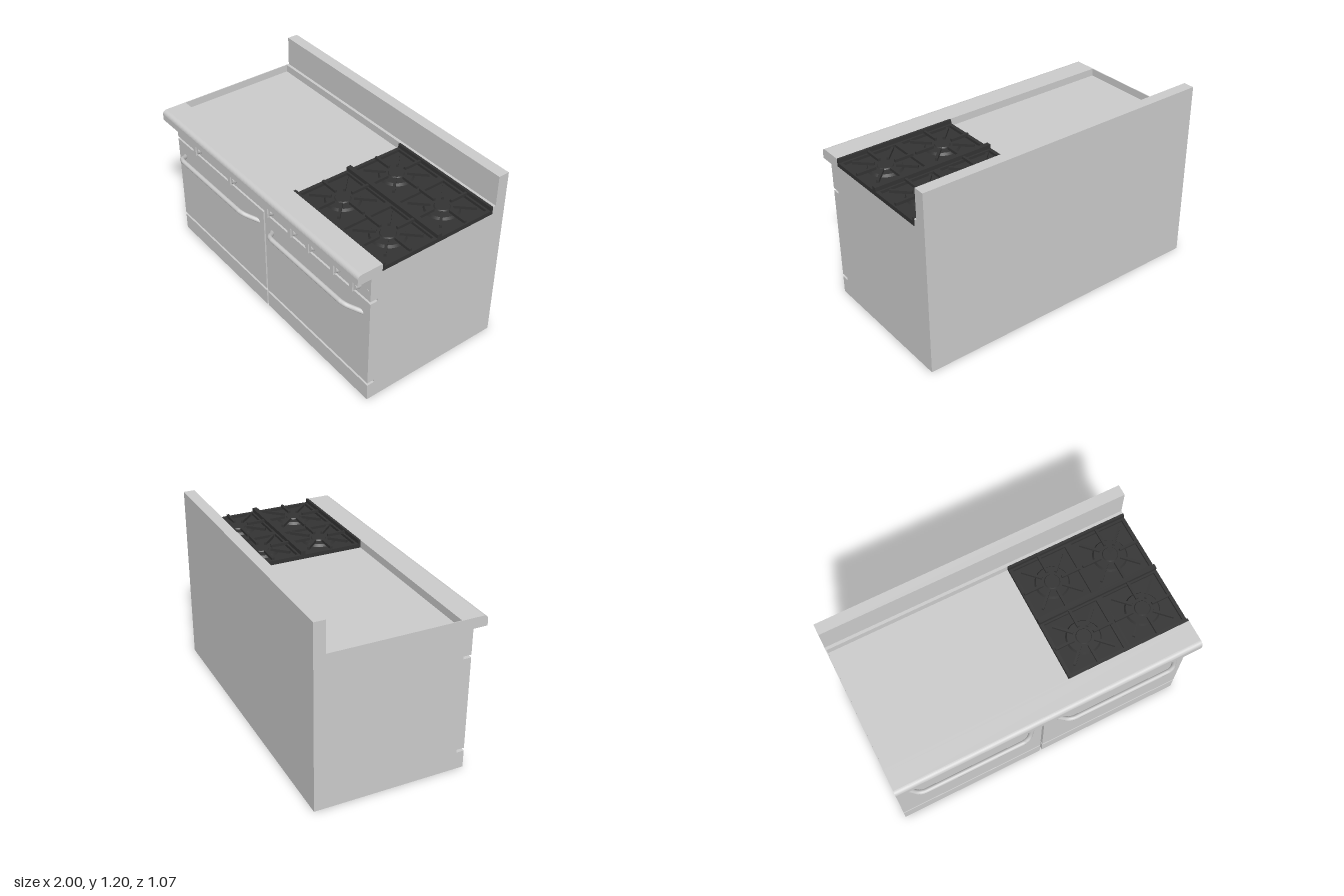
import * as THREE from 'three';

const steel = new THREE.MeshStandardMaterial({ color: 0xcccccc });
const iron = new THREE.MeshStandardMaterial({ color: 0x333333 });

function add(parent, name, geometry, material = steel, x = 0, y = 0, z = 0) {
  const mesh = new THREE.Mesh(geometry, material);
  mesh.name = name;
  mesh.position.set(x, y, z);
  parent.add(mesh);
  return mesh;
}

// Box given by its minimum and maximum corners
function block(parent, name, [x0, y0, z0], [x1, y1, z1], material = steel) {
  return add(parent, name, new THREE.BoxGeometry(x1 - x0, y1 - y0, z1 - z0), material,
    (x0 + x1) / 2, (y0 + y1) / 2, (z0 + z1) / 2);
}

// Side profile drawn in (z, y), swept across the full width
function sweepAcross(shape) {
  return new THREE.ExtrudeGeometry(shape, { depth: 2, bevelEnabled: false, curveSegments: 8 })
    .rotateY(-Math.PI / 2).translate(1, 0, 0);
}

function makeHandle(parent, centre) {
  const half = [[-0.435, 0.643, 0.432], [-0.405, 0.658, 0.46], [-0.365, 0.683, 0.5], [-0.33, 0.69, 0.512]];
  const points = [...half, ...half.map(([x, y, z]) => [-x, y, z]).reverse()]
    .map(([x, y, z]) => new THREE.Vector3(x + centre, y, z));
  const path = new THREE.CurvePath();
  path.add(new THREE.CatmullRomCurve3(points.slice(0, 4)));
  path.add(new THREE.LineCurve3(points[3], points[4]));
  path.add(new THREE.CatmullRomCurve3(points.slice(4)));
  add(parent, 'doorHandle', new THREE.TubeGeometry(path, 80, 0.015, 12));
}

function makeKnob(parent, x) {
  const knob = new THREE.Group();
  knob.name = 'knob';
  knob.position.set(x, 0.835, 0.44);
  add(knob, 'knobBase', new THREE.CylinderGeometry(0.04, 0.04, 0.02, 24).rotateX(Math.PI / 2), steel, 0, 0, 0.012);
  add(knob, 'knobSkirt', new THREE.CylinderGeometry(0.034, 0.038, 0.014, 24).rotateX(Math.PI / 2), steel, 0, 0, 0.029);
  add(knob, 'knobGrip', new THREE.BoxGeometry(0.026, 0.084, 0.04), steel, 0, 0, 0.024);
  parent.add(knob);
}

// Pill-shaped bezel running between two knob positions
function makeBezel(parent, x0, x1) {
  const r = 0.018, s = new THREE.Shape();
  s.absarc(x1 - r, 0, r, -Math.PI / 2, Math.PI / 2);
  s.absarc(x0 + r, 0, r, Math.PI / 2, Math.PI * 1.5);
  s.closePath();
  add(parent, 'knobBezel', new THREE.ExtrudeGeometry(s, { depth: 0.006, bevelEnabled: false }), steel, 0, 0.835, 0.438);
}

function makeBurner(parent, x, z) {
  const burner = new THREE.Group();
  burner.name = 'burner';
  burner.position.set(x, 0, z);
  // Grate frame with a square opening
  const frame = new THREE.Shape([[-0.2, -0.2], [0.2, -0.2], [0.2, 0.2], [-0.2, 0.2]].map(p => new THREE.Vector2(...p)));
  frame.holes.push(new THREE.Path([[-0.178, -0.172], [-0.178, 0.172], [0.178, 0.172], [0.178, -0.172]].map(p => new THREE.Vector2(...p))));
  add(burner, 'grateFrame', new THREE.ExtrudeGeometry(frame, { depth: 0.022, bevelEnabled: false }).rotateX(-Math.PI / 2), iron, 0, 0.955, 0);
  // Burner head
  add(burner, 'burnerHead', new THREE.CylinderGeometry(0.1, 0.11, 0.018, 32), iron, 0, 0.967, 0);
  add(burner, 'burnerCap', new THREE.CylinderGeometry(0.045, 0.05, 0.008, 24), iron, 0, 0.979, 0);
  // Eight grate fingers
  for (let i = 0; i < 8; i++) {
    const outer = i % 2 ? 0.195 : 0.19, inner = 0.065;
    const finger = new THREE.BoxGeometry(outer - inner, 0.018, 0.016)
      .translate((outer + inner) / 2, 0.984, 0).rotateY(i * Math.PI / 4);
    add(burner, 'grateFinger', finger, iron);
  }
  parent.add(burner);
}

export function createModel() {
  const model = new THREE.Group();
  model.name = 'range';

  // Cabinet with sunken cooktop and backsplash
  const body = new THREE.Shape([[-0.533, 0], [0.39, 0], [0.39, 1], [0.365, 1], [0.365, 0.95], [-0.44, 0.95],
    [-0.44, 1], [-0.46, 1], [-0.46, 1.2], [-0.533, 1.2]].map(p => new THREE.Vector2(...p)));
  add(model, 'cabinet', sweepAcross(body));
  block(model, 'griddleSideWall', [-1, 0.95, -0.44], [-0.995, 1, 0.365]);

  // Front rail with rounded nose
  const rail = new THREE.Shape();
  rail.moveTo(0.39, 0.932);
  rail.lineTo(0.533, 0.932);
  rail.lineTo(0.533, 0.975);
  rail.quadraticCurveTo(0.53, 0.998, 0.505, 1);
  rail.lineTo(0.39, 1);
  rail.closePath();
  add(model, 'frontRail', sweepAcross(rail));

  // Control panel, doors and kick panels
  block(model, 'controlPanel', [-1, 0.768, 0.39], [1, 0.932, 0.441]);
  for (const [x0, x1] of [[-1, -0.011], [0.004, 1]]) {
    block(model, 'ovenDoor', [x0, 0.135, 0.39], [x1, 0.75, 0.441]);
    block(model, 'kickPanel', [x0, 0, 0.39], [x1, 0.115, 0.441]);
  }
  makeHandle(model, -0.5);
  makeHandle(model, 0.5);

  // Knobs, bezels and panel screws
  for (const x of [-0.715, -0.315, 0.083, 0.315, 0.485, 0.715, 0.883]) makeKnob(model, x);
  for (const [x0, x1] of [[-0.905, -0.7], [-0.505, -0.3], [-0.105, 0.09], [0.31, 0.49], [0.71, 0.89]]) makeBezel(model, x0, x1);
  for (const x of [-0.975, 0.975])
    add(model, 'panelScrew', new THREE.CylinderGeometry(0.007, 0.007, 0.004, 12).rotateX(Math.PI / 2), steel, x, 0.835, 0.442);

  // Burner tray, cross rails and four burners
  block(model, 'burnerTray', [0.2, 0.95, -0.439], [1, 0.96, 0.364], iron);
  for (const [z0, z1] of [[-0.44, -0.424], [-0.053, -0.022], [0.349, 0.365]])
    block(model, 'grateRail', [0.2, 0.951, z0], [1, 1.002, z1], iron);
  for (const x of [0.4, 0.8]) for (const z of [-0.238, 0.162]) makeBurner(model, x, z);

  return model;
}
